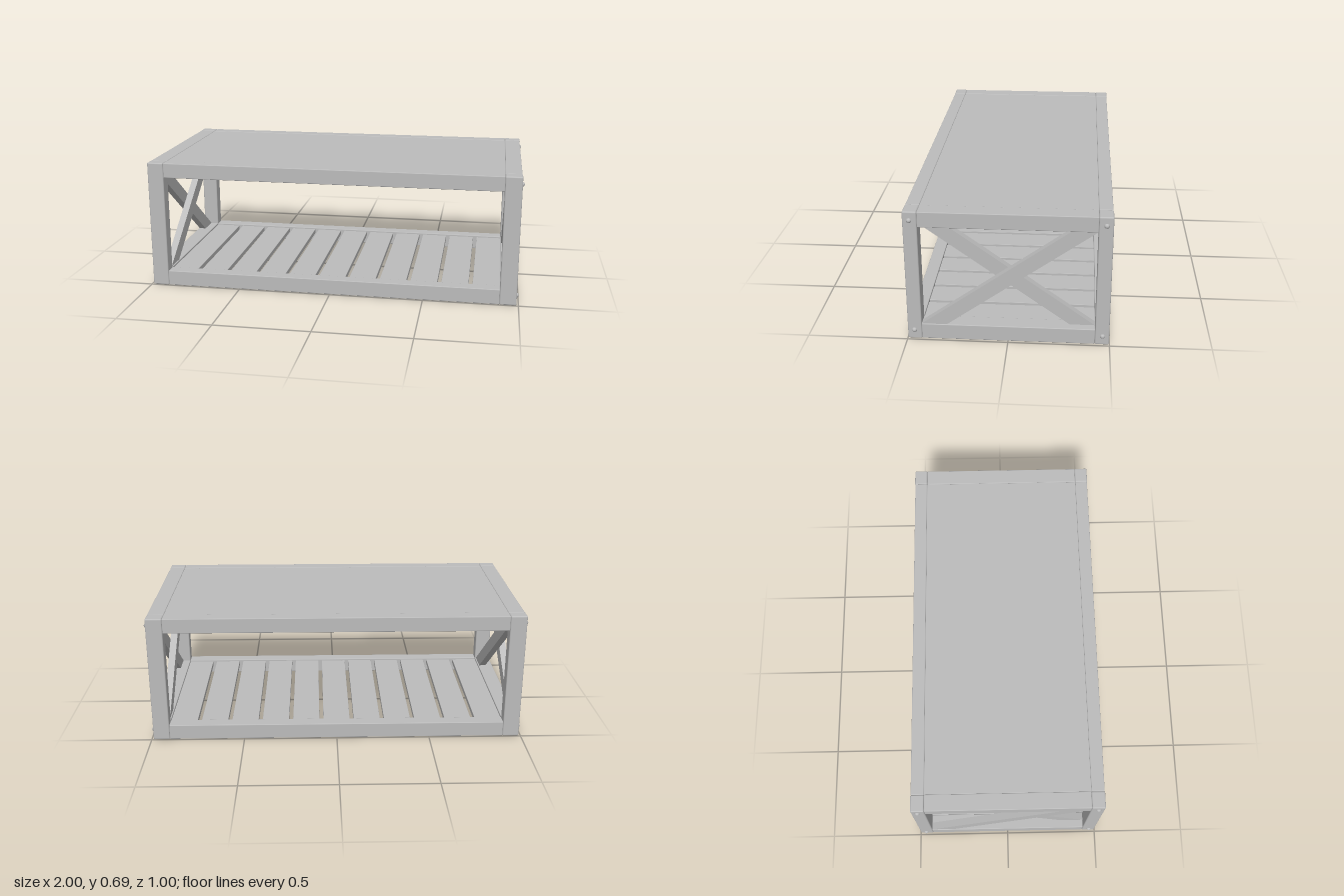
import * as THREE from 'three';
import { RoundedBoxGeometry } from 'three/addons/geometries/RoundedBoxGeometry.js';

const H = 0.69;                   // overall height
const LEG_IN = 0.902, LEG_OUT = 0.99;
const Z_IN = 0.428, Z_OUT = 0.498;
const RAIL = 0.083;               // rail height

export function createModel() {
  const table = new THREE.Group();
  table.name = 'coffeeTable';
  const wood = new THREE.MeshStandardMaterial({ color: 0xbcbcbc });
  wood.name = 'plain grey wood';

  // Softly rounded beam given by its minimum and maximum corners
  function beam(parent, name, min, max, radius = 0.004) {
    const s = max.map((v, i) => v - min[i]);
    const mesh = new THREE.Mesh(new RoundedBoxGeometry(s[0], s[1], s[2], 2, radius), wood);
    mesh.position.set(...max.map((v, i) => (v + min[i]) / 2));
    mesh.name = name;
    parent.add(mesh);
  }

  // Diagonal brace: slanted parallelogram cut flush with the rails
  function brace(parent, name, dir, x0, x1) {
    const y0 = RAIL - 0.002, y1 = H - RAIL + 0.004;
    const shape = new THREE.Shape();
    // shape x becomes -z after the turn about y
    shape.moveTo(-0.43 * dir, y0);
    shape.lineTo(-0.305 * dir, y0);
    shape.lineTo(0.43 * dir, y1);
    shape.lineTo(0.305 * dir, y1);
    const geo = new THREE.ExtrudeGeometry(shape, { depth: x1 - x0, bevelEnabled: false });
    geo.rotateY(Math.PI / 2);
    const mesh = new THREE.Mesh(geo, wood);
    mesh.position.x = x0;
    mesh.name = name;
    parent.add(mesh);
  }

  // End frames: the second is the first turned half round
  for (const [name, turn] of [['leftEnd', 0], ['rightEnd', Math.PI]]) {
    const end = new THREE.Group();
    end.name = name;
    end.rotation.y = turn;
    for (const s of [-1, 1]) {
      const z = [s * Z_IN, s * Z_OUT].sort((a, b) => a - b);
      beam(end, 'leg', [LEG_IN, 0, z[0]], [LEG_OUT, H, z[1]], 0.007);
      // Domed bolt heads
      for (const y of [0.048, 0.645]) {
        const bolt = new THREE.Mesh(
          new THREE.SphereGeometry(0.013, 16, 8, 0, Math.PI * 2, 0, Math.PI / 2), wood);
        bolt.rotation.z = -Math.PI / 2;
        bolt.position.set(LEG_OUT - 0.003, y, s * 0.465);
        bolt.name = 'bolt';
        end.add(bolt);
      }
    }
    beam(end, 'lowerEndRail', [LEG_IN, 0.001, -Z_IN], [LEG_OUT - 0.002, RAIL, Z_IN]);
    beam(end, 'upperEndRail', [LEG_IN, H - RAIL + 0.002, -Z_IN], [LEG_OUT - 0.002, H - 0.001, Z_IN]);
    brace(end, 'outerBrace', 1, 0.946, 0.984);
    brace(end, 'innerBrace', -1, 0.908, 0.946);
    table.add(end);
  }

  // Long rails at front and back
  for (const s of [-1, 1]) {
    const z = [s * Z_IN, s * (Z_OUT - 0.002)].sort((a, b) => a - b);
    beam(table, 'lowerLongRail', [-LEG_IN, 0.001, z[0]], [LEG_IN, RAIL, z[1]]);
    beam(table, 'upperLongRail', [-LEG_IN, H - RAIL + 0.002, z[0]], [LEG_IN, H - 0.001, z[1]]);
  }

  // Table top panel set into the upper frame
  beam(table, 'topPanel', [-LEG_IN, H - 0.035, -Z_IN], [LEG_IN, H - 0.003, Z_IN], 0.002);

  // Lower shelf of evenly spaced slats
  const count = 11, gap = 0.022;
  const width = (2 * LEG_IN - gap * (count - 1)) / count;
  for (let i = 0; i < count; i++) {
    const x = -LEG_IN + i * (width + gap);
    beam(table, 'shelfSlat', [x, 0.048, -Z_IN], [x + width, 0.074, Z_IN], 0.002);
  }

  return table;
}
